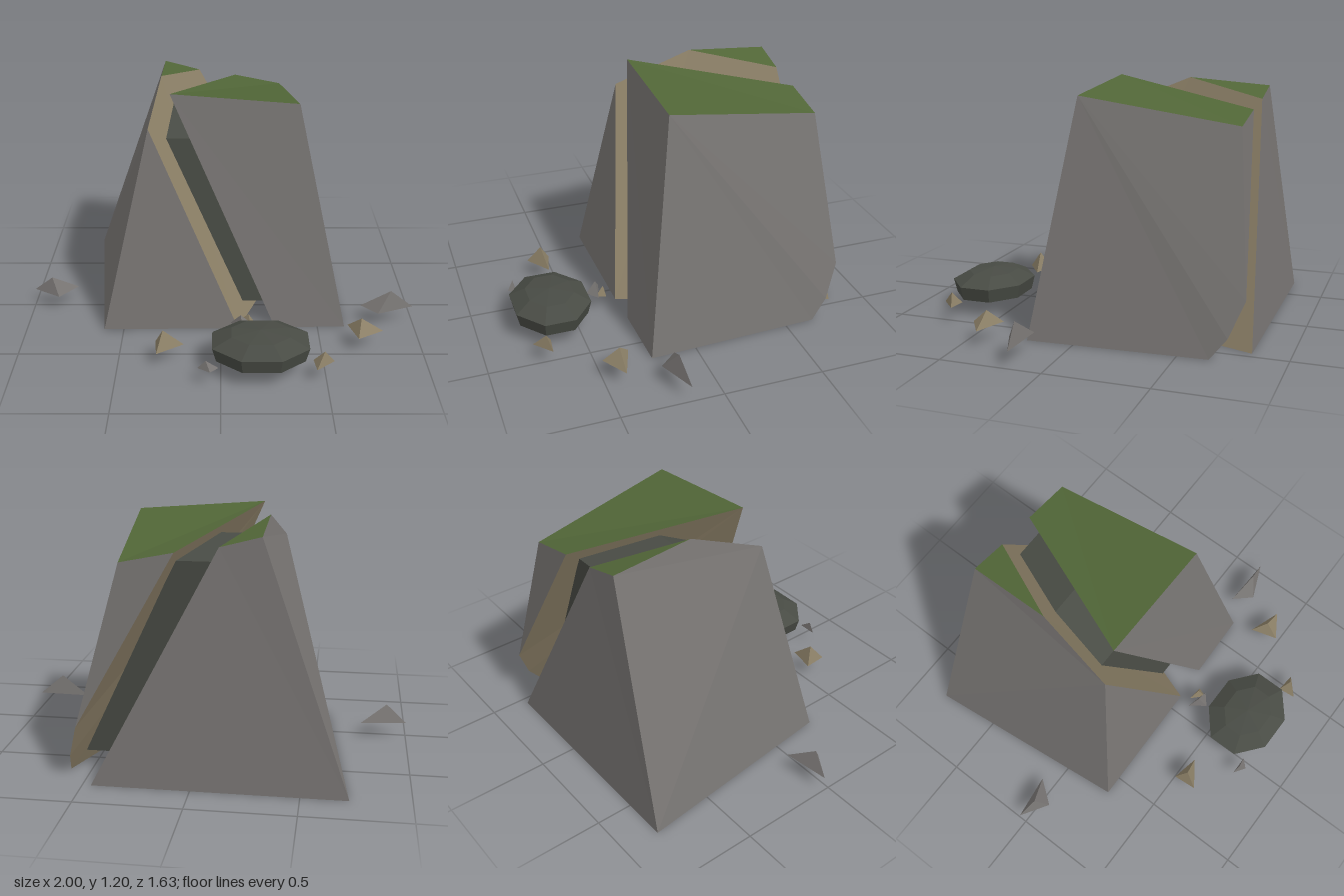
import * as THREE from 'three';

const material = (name, color) => {
  const m = new THREE.MeshStandardMaterial({ color });
  m.name = name;
  return m;
};

// Convex faceted solid: faces are [materialIndex, ...corner names], each fanned
// from its first corner and turned to face away from the centre.
function solid(name, corners, faces, materials) {
  const pts = {};
  const centre = new THREE.Vector3();
  const keys = Object.keys(corners);
  for (const k of keys) {
    pts[k] = new THREE.Vector3(...corners[k]);
    centre.addScaledVector(pts[k], 1 / keys.length);
  }
  const geo = new THREE.BufferGeometry();
  const out = [];
  for (const [mat, ...ids] of faces) {
    const start = out.length;
    for (let i = 1; i < ids.length - 1; i++) {
      const [a, b, c] = [pts[ids[0]], pts[ids[i]], pts[ids[i + 1]]];
      const n = b.clone().sub(a).cross(c.clone().sub(a));
      out.push(...(n.dot(a.clone().sub(centre)) > 0 ? [a, b, c] : [a, c, b]));
    }
    geo.addGroup(start, out.length - start, mat);
  }
  geo.setFromPoints(out);
  geo.computeVertexNormals();
  const mesh = new THREE.Mesh(geo, materials);
  mesh.name = name;
  return mesh;
}

export function createModel() {
  const rock = material('rock grey', 0x777472);
  const tan = material('split tan', 0x8c8067);
  const moss = material('moss green', 0x516637);
  const dark = material('dark stone', 0x484b44);
  const mats = [rock, tan, moss, dark];
  const ROCK = 0, TAN = 1, MOSS = 2, DARK = 3;
  const model = new THREE.Group();
  model.name = 'splitBoulder';

  // Leaning half with its split face turned up and towards +x
  model.add(solid('leaningHalf', {
    backOuter: [-0.72, 0, -0.82], backInner: [0.46, 0, -0.82],
    frontInner: [0.09, 0, 0.25], frontOuter: [-0.6, 0, 0.26],
    shoulder: [-0.36, 1.03, 0.09], peak: [-0.31, 1.19, -0.3],
    topBackOuter: [-0.31, 1.16, -0.72], topBackInner: [-0.12, 1.11, -0.72],
  }, [
    [ROCK, 'backOuter', 'backInner', 'frontInner', 'frontOuter'],
    [ROCK, 'frontOuter', 'frontInner', 'shoulder'],
    [ROCK, 'shoulder', 'frontOuter', 'backOuter', 'topBackOuter', 'peak'],
    [ROCK, 'backOuter', 'backInner', 'topBackInner', 'topBackOuter'],
    [TAN, 'frontInner', 'backInner', 'topBackInner', 'peak', 'shoulder'],
    [MOSS, 'peak', 'topBackOuter', 'topBackInner'],
  ], mats));

  // Overhanging half, undercut by the split at the lower back corner
  model.add(solid('overhangingHalf', {
    topFrontIn: [-0.25, 1.2, 0.06], topFrontOut: [0.39, 1.15, 0.06],
    topBackOut: [0.33, 1.03, -0.72], topBackIn: [0.08, 1.08, -0.72],
    frontIn: [0.28, 0, 0.24], frontOut: [0.64, 0, 0.23],
    heel: [0.6, 0, -0.65], heelMid: [0.58, 0.1, -0.73], heelTop: [0.53, 0.27, -0.8],
  }, [
    [MOSS, 'topFrontIn', 'topFrontOut', 'topBackOut', 'topBackIn'],
    [ROCK, 'topFrontIn', 'topFrontOut', 'frontOut', 'frontIn'],
    [ROCK, 'topFrontOut', 'frontOut', 'heel', 'heelMid', 'heelTop', 'topBackOut'],
    [ROCK, 'topBackIn', 'topBackOut', 'heelTop'],
    [ROCK, 'frontIn', 'frontOut', 'heel'],
    [TAN, 'topFrontIn', 'frontIn', 'heel', 'heelMid', 'heelTop', 'topBackIn'],
  ], mats));

  // Dark core filling the crack, set in from the rims
  const profile = [
    [0.115, 0.08, 0.1], [0.365, 0.08, -0.6], [-0.085, 1.03, -0.65],
    [-0.235, 1.1, -0.3], [-0.275, 0.95, 0],
  ];
  const core = {}, coreFaces = [[DARK], [DARK]];
  profile.forEach(([x, y, z], i) => {
    core['l' + i] = [x, y, z];
    core['r' + i] = [x + 0.17, y, z];
    const j = (i + 1) % profile.length;
    coreFaces[0].push('l' + i);
    coreFaces[1].push('r' + i);
    coreFaces.push([DARK, 'l' + i, 'l' + j, 'r' + j, 'r' + i]);
  });
  model.add(solid('crackCore', core, coreFaces, mats));

  // Flat-bottomed dark stone in front
  const stoneProfile = [[0, 0], [0.92, 0], [1, 0.07], [0.6, 0.115], [0, 0.13]]
    .map(([r, y]) => new THREE.Vector2(r, y));
  const stoneGeo = new THREE.LatheGeometry(stoneProfile, 8, Math.PI / 8)
    .scale(0.25, 1, 0.205).toNonIndexed();
  stoneGeo.computeVertexNormals();
  const stone = new THREE.Mesh(stoneGeo, dark);
  stone.name = 'darkStone';
  stone.position.set(0.19, 0.08, 0.62);
  model.add(stone);

  // Scattered chips: colour, three base corners (x, z), apex (x, y, z)
  const chips = [
    [ROCK, [-1, -0.03], [-0.77, -0.06], [-0.86, 0.06], [-0.9, 0.165, 0]],
    [ROCK, [0.73, 0.15], [1, 0.16], [0.81, 0.24], [0.88, 0.18, 0.18]],
    [TAN, [0.64, 0.35], [0.81, 0.41], [0.68, 0.49], [0.7, 0.15, 0.41]],
    [TAN, [0.44, 0.68], [0.54, 0.69], [0.45, 0.77], [0.49, 0.145, 0.71]],
    [TAN, [-0.32, 0.51], [-0.18, 0.54], [-0.31, 0.63], [-0.28, 0.17, 0.56]],
    [ROCK, [-0.11, 0.75], [-0.01, 0.75], [-0.05, 0.79], [-0.07, 0.125, 0.76]],
    [ROCK, [0.05, 0.33], [0.17, 0.36], [0.11, 0.41], [0.1, 0.14, 0.36]],
    [TAN, [0.09, 0.31], [0.17, 0.32], [0.15, 0.37], [0.14, 0.13, 0.33]],
  ];
  chips.forEach(([mat, a, b, c, apex], i) => {
    const base = ([x, z]) => [x, 0.08, z];
    model.add(solid('chip' + (i + 1), { a: base(a), b: base(b), c: base(c), apex },
      [[mat, 'a', 'b', 'c'], [mat, 'a', 'b', 'apex'], [mat, 'b', 'c', 'apex'], [mat, 'c', 'a', 'apex']],
      mats));
  });

  return model;
}
